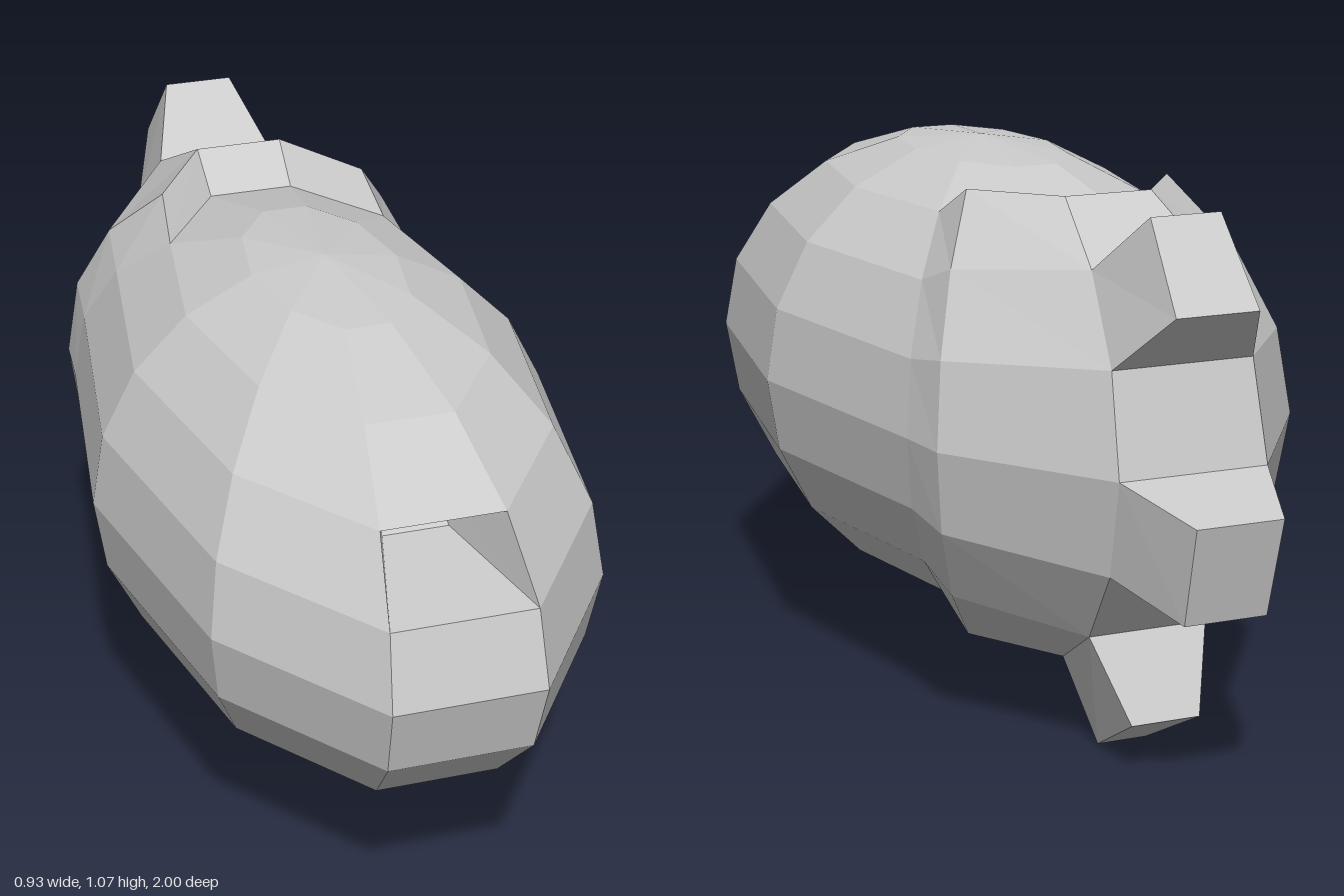
import * as THREE from 'three';

const COLS = 10, ROWS = 10;
const CENTRE = { y: 0.6, z: 0.14 }, RADIUS = { x: 0.467, y: 0.467, z: 0.904 };

// Flat-shaded mesh from convex faces, corners anticlockwise from outside
function facetMesh(name, faces) {
  const pos = [];
  for (const f of faces) {
    for (let k = 1; k < f.length - 1; k++) pos.push(...f[0], ...f[k], ...f[k + 1]);
  }
  const geo = new THREE.BufferGeometry();
  geo.setAttribute('position', new THREE.Float32BufferAttribute(pos, 3));
  geo.computeVertexNormals();
  const mesh = new THREE.Mesh(geo, new THREE.MeshStandardMaterial({ color: 0xcccccc, flatShading: true }));
  mesh.name = name;
  return mesh;
}

// Point on the ellipsoid: row i from bottom to top, column j around y
function bodyPoint(i, j) {
  const lat = (i / ROWS - 0.5) * Math.PI, a = (j / COLS) * Math.PI * 2;
  return [
    RADIUS.x * Math.cos(lat) * Math.cos(a),
    CENTRE.y + RADIUS.y * Math.sin(lat),
    CENTRE.z + RADIUS.z * Math.cos(lat) * Math.sin(a),
  ];
}

// Raised back plate: the body point pushed backwards and away from mid height
const PUSH = {
  middle: { y: [0, 0.046, 0.07, 0.067], z: [0.1, 0.092, 0.085, 0.09], x: 0.003 },
  edge: { y: [0, 0.02, 0.04, 0.06], z: [0.115, 0.115, 0.11, 0.105], x: -0.013 },
};
function platePoint(i, j) {
  const [x, y, z] = bodyPoint(i, j);
  const p = j === 7 || j === 8 ? PUSH.middle : PUSH.edge;
  const k = Math.abs(i - 5);
  return [x + Math.sign(x) * p.x, y + Math.sign(i - 5) * p.y[k], z - p.z[k]];
}

const cell = (point, i, j) => [point(i, j), point(i + 1, j), point(i + 1, j + 1), point(i, j + 1)];

// Strip of faces joining two closed loops
const bridge = (a, b) => a.map((p, k) => {
  const n = (k + 1) % a.length;
  return [p, a[n], b[n], b[k]];
});

const onPlate = (i, j) => i >= 2 && i <= 7 && j >= 6 && j <= 8;
const onRecess = (i, j) => i === 6 && j === 2;

export function createModel() {
  const model = new THREE.Group();
  model.name = 'model';

  // Faceted body and back plate
  const body = [], plate = [];
  for (let i = 0; i < ROWS; i++) {
    for (let j = 0; j < COLS; j++) {
      if (onRecess(i, j)) continue;
      if (onPlate(i, j)) {
        if (!(j === 7 && [2, 4, 6].includes(i))) plate.push(cell(platePoint, i, j));
        continue;
      }
      const c = cell(bodyPoint, i, j);
      if (i === 0) c.splice(3, 1);
      if (i === ROWS - 1) c.splice(2, 1);
      body.push(c);
    }
  }
  model.add(facetMesh('body', body), facetMesh('backPlate', plate));

  // Step between the body and the plate
  const loop = [];
  for (let i = 2; i < 8; i++) loop.push([i, 6]);
  for (let j = 6; j < 9; j++) loop.push([8, j]);
  for (let i = 8; i > 2; i--) loop.push([i, 9]);
  for (let j = 9; j > 6; j--) loop.push([2, j]);
  model.add(facetMesh('plateRim', bridge(loop.map(q => bodyPoint(...q)), loop.map(q => platePoint(...q)))));

  // Tapered spikes down the back: row, y shift, z shift
  const spikes = [['upperSpike', 6, 0.115, -0.132], ['middleSpike', 4, -0.045, -0.18], ['lowerSpike', 2, -0.155, -0.08]];
  for (const [name, row, dy, dz] of spikes) {
    const base = cell(platePoint, row, 7);
    const tip = base.map(([x, y, z]) => [x * 0.58, y + dy, z + dz]);
    model.add(facetMesh(name, [...bridge(base, tip), tip]));
  }

  // Funnel-shaped recess in the front
  const mouth = cell(bodyPoint, 6, 2);
  const floor = mouth.map(([x, y, z]) => [x * 0.46, 0.803 + (y - 0.81) * 0.48, 0.66 + (z - 0.897) * 0.48]);
  model.add(facetMesh('frontRecess', [...bridge(mouth, floor), floor]));

  return model;
}
